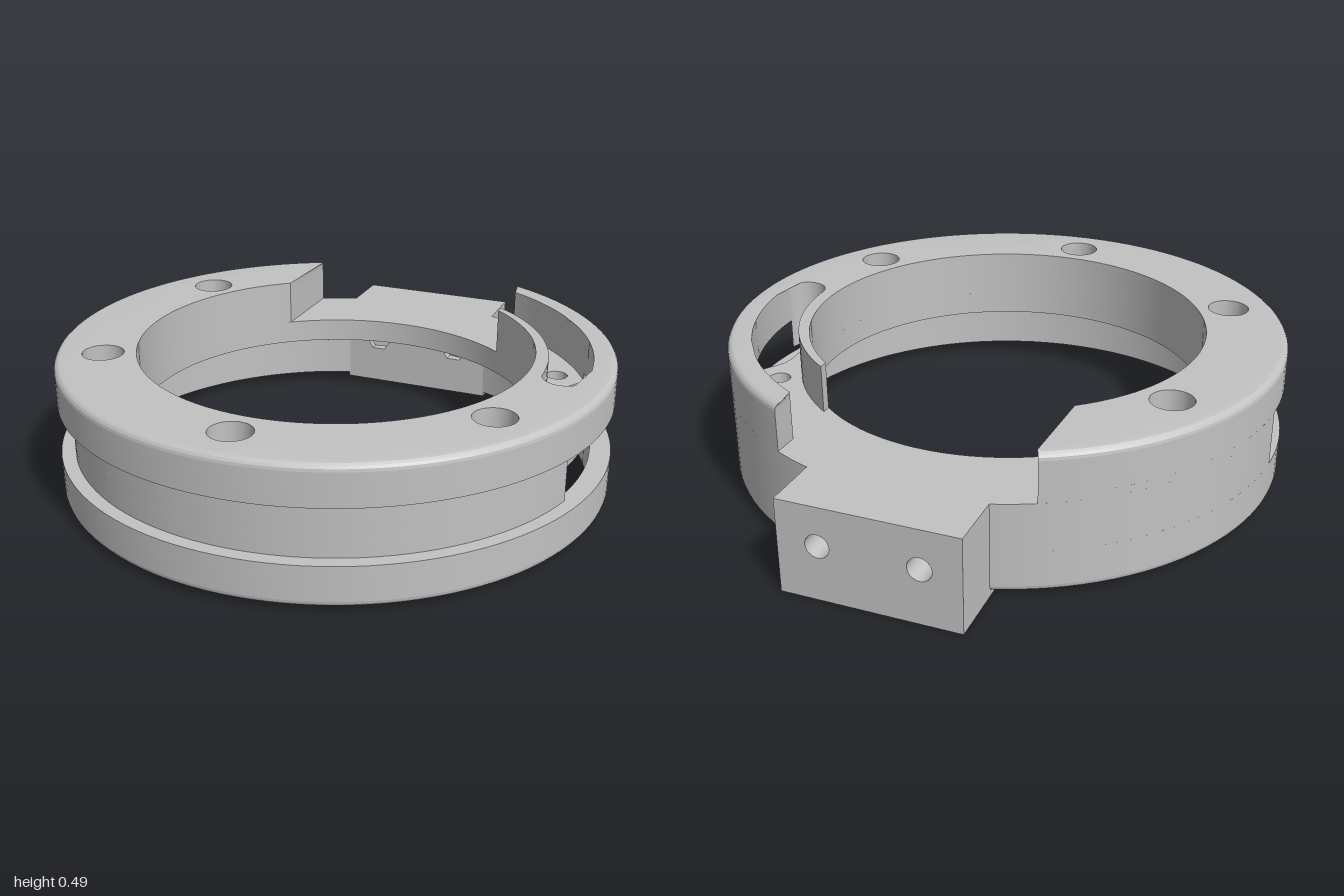
import * as THREE from 'three';
import { mergeGeometries, toCreasedNormals } from 'three/addons/utils/BufferGeometryUtils.js';

const RAD = Math.PI / 180;
// Radii: outer flange, groove floor, cavity wall, slot outer side, slot inner side, bore
const R = 0.973, GROOVE = 0.925, CAVITY = 0.9, SLOT_OUT = 0.89, SLOT_IN = 0.72, BORE = 0.694;
// Angles in degrees in plan, measured from +x towards +z
const G0 = 12, G1 = 232, WIN0 = 20.5, WIN1 = 61.5, CAP = 47.5;
const BLOCK_DIR = -43.3, CUT = 0.43;
const cutA = r => BLOCK_DIR + Math.asin(CUT / r) / RAD;
const cutB = r => 360 + BLOCK_DIR - Math.asin(CUT / r) / RAD;

const polar = (r, a) => [r * Math.cos(a * RAD), r * Math.sin(a * RAD)];

// Points on an arc whose radius may drift from r to r2
function arc(r, a0, a1, r2 = r, c = [0, 0], step = 3) {
  const n = Math.max(1, Math.ceil(Math.abs(a1 - a0) / step)), pts = [];
  for (let i = 0; i <= n; i++) {
    const p = polar(r + (r2 - r) * i / n, a0 + (a1 - a0) * i / n);
    pts.push([p[0] + c[0], p[1] + c[1]]);
  }
  return pts;
}
const circle = (c, r, step = 8) => arc(r, 0, 360 - step, r, c, step);
// Plan points to shape points, reversed so that outlines run counter-clockwise
const toVec = pts => pts.map(p => new THREE.Vector2(p[0], -p[1])).reverse();

function extrude(outline, holes, depth) {
  const shape = new THREE.Shape(toVec(outline));
  shape.holes = holes.map(h => new THREE.Path(toVec(h)));
  return new THREE.ExtrudeGeometry(shape, { depth, bevelEnabled: false });
}

// Extrudes a plan outline from y0 to y1; the outer rim may taper from rb to rt
function slab(outline, holes, y0, y1, rb = R, rt = R) {
  const g = extrude(outline, holes, y1 - y0);
  g.rotateX(-Math.PI / 2).translate(0, y0, 0);
  const p = g.attributes.position;
  for (let i = 0; i < p.count; i++) {
    const x = p.getX(i), z = p.getZ(i);
    if (Math.hypot(x, z) < R - 0.002) continue;
    const k = (p.getY(i) > (y0 + y1) / 2 ? rt : rb) / R;
    p.setX(i, x * k);
    p.setZ(i, z * k);
  }
  return toCreasedNormals(g, 0.2);
}

// Flange whose outer edge is rounded at the top or at the bottom
function roundedSlab(outline, holes, y0, y1, radius, atTop) {
  const parts = [], n = 4;
  const s = i => [radius * (1 - Math.sin(i / n * Math.PI / 2)), R - radius * (1 - Math.cos(i / n * Math.PI / 2))];
  parts.push(atTop ? slab(outline, holes, y0, y1 - radius) : slab(outline, holes, y0 + radius, y1));
  for (let i = 0; i < n; i++) {
    const [d0, r0] = s(i), [d1, r1] = s(i + 1);
    parts.push(atTop ? slab(outline, holes, y1 - d0, y1 - d1, r0, r1)
      : slab(outline, holes, y0 + d1, y0 + d0, r1, r0));
  }
  return mergeGeometries(parts);
}

export function createModel() {
  const group = new THREE.Group();
  const grey = new THREE.MeshStandardMaterial({ color: 0xc2c2c2 });
  grey.name = 'grey';
  const ring = new THREE.Group();
  ring.name = 'ring';
  ring.position.set(-0.027, 0, 0.004);
  group.add(ring);
  const add = (name, geometry) => {
    const m = new THREE.Mesh(geometry, grey);
    m.name = name;
    ring.add(m);
    return m;
  };

  const screws = [[-0.188, -0.783], [-0.773, -0.233], [-0.588, 0.557], [0.182, 0.787]];
  const screwHoles = screws.map(c => circle(c, 0.038));
  const counterbores = screws.map(c => circle(c, 0.072));

  // Rounded end of the curved slot, from its inner side to its outer side
  const cap = arc(0.073, CAP + 180, CAP, 0.073, polar(0.817, CAP), 9);
  const slotInner = arc(SLOT_IN, cutA(SLOT_IN), CAP - 1, 0.744);

  // Groove floor that runs out smoothly to the full radius at both ends
  const grooveStart = [...arc(GROOVE, WIN1, G1 - 7), ...arc(GROOVE, G1 - 7, G1, R)];
  const grooveRunOut = turn => arc(R, turn + G0, turn + WIN0, CAVITY + 0.004, [0, 0], 2);
  const grooved = [...grooveStart, ...arc(R, G1, 360 + G0), ...grooveRunOut(360)];

  // Lower flange around the open cavity
  add('lowerFlange', roundedSlab(circle([0, 0], R, 3), [circle([0, 0], CAVITY, 3)], 0.017, 0.16, 0.022, false));

  // Thin wall behind the groove, interrupted by the side window
  add('grooveWall', slab([...grooved, ...arc(CAVITY, 360 + WIN0, WIN1)], [], 0.16, 0.24));

  // Floor plate with the opening that leads to the side window
  add('floorPlate', slab([
    ...grooved, ...arc(SLOT_OUT, WIN0, 21.5),
    [0.765, 0.337], [0.725, 0.347], [0.69, 0.37], [0.66, 0.4],
    ...cap, ...arc(SLOT_OUT, CAP + 0.5, WIN1),
  ], [circle([0, 0], BORE, 3), circle([0.772, 0.235], 0.038), ...screwHoles], 0.24, 0.325));

  // Grooved part of the upper ring and the loose end of its outer wall
  add('upperRingBase', slab([
    ...arc(SLOT_OUT, CAP + 0.5, WIN1), ...grooveStart, ...arc(R, G1, cutB(R)),
    ...arc(BORE, cutB(BORE), cutA(BORE)), ...slotInner, ...cap,
  ], screwHoles, 0.325, 0.35));
  add('slotOuterWall', slab([
    ...arc(R, cutA(R), G0), ...grooveRunOut(0), ...arc(SLOT_OUT, WIN0, cutA(SLOT_OUT)),
  ], [], 0.325, 0.35));

  // Upper flange with the curved slot, the wide cut and the counterbores
  add('upperFlange', roundedSlab([
    ...arc(R, cutA(R), cutB(R)), ...arc(BORE, cutB(BORE), cutA(BORE)),
    ...slotInner, ...cap, ...arc(SLOT_OUT, CAP - 1, cutA(SLOT_OUT)),
  ], counterbores, 0.35, 0.49, 0.025, true));

  // Mounting block: screw holes in the outer face, hexagonal nut pockets in the inner face
  const face = [[-0.3, 0], [-0.3, -0.325], [0.3, -0.325], [0.3, 0]];
  const pair = (r, step) => [-0.165, 0.165].map(w => circle([w, -0.19], r, step));
  const inner = extrude(face, pair(0.054, 60), 0.08).translate(0, 0, 0.85);
  const outer = extrude(face, pair(0.04, 8), 0.195).translate(0, 0, 0.93);
  const block = toCreasedNormals(mergeGeometries([inner, outer]), 0.2);
  add('mountingBlock', block).rotation.y = (90 - BLOCK_DIR) * RAD;

  return group;
}
